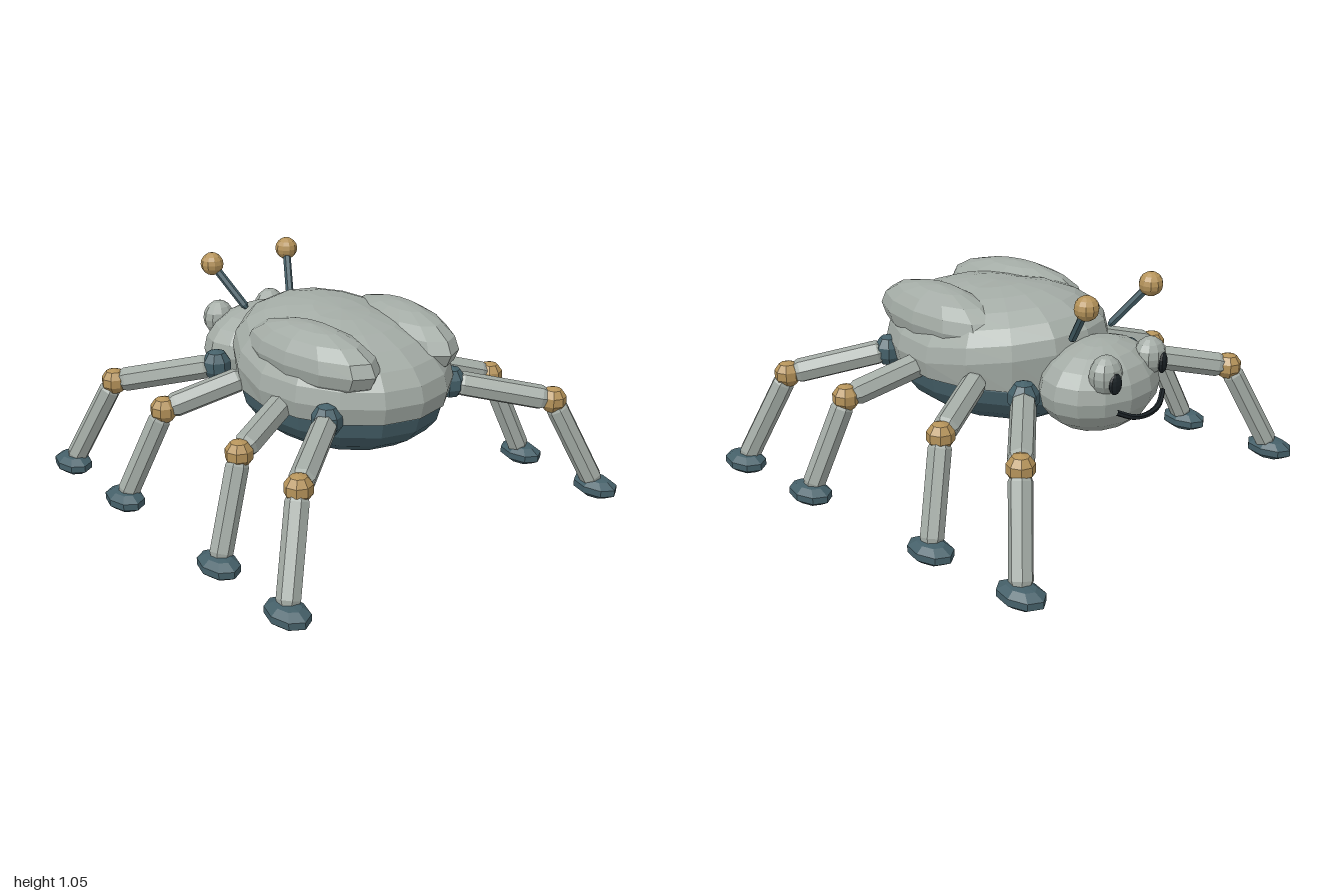
import * as THREE from 'three';

const material = (name, color) => {
  const m = new THREE.MeshStandardMaterial({ color, flatShading: true });
  m.name = name;
  return m;
};

export function createModel() {
  const grey = material('shell grey', 0xa3aba5);
  const teal = material('dark teal', 0x456069);
  const tan = material('joint tan', 0xb5935a);
  const black = material('face black', 0x1b2226);
  const model = new THREE.Group();
  model.name = 'beetle';

  const V = (x, y, z) => new THREE.Vector3(x, y, z);

  function add(name, geometry, mat, position, parent = model) {
    const mesh = new THREE.Mesh(geometry, mat);
    mesh.name = name;
    if (position) mesh.position.copy(position);
    parent.add(mesh);
    return mesh;
  }

  function ellipsoid(name, mat, position, [rx, ry, rz], w = 10, h = 7, parent = model) {
    return add(name, new THREE.SphereGeometry(1, w, h).scale(rx, ry, rz), mat, position, parent);
  }

  // Straight limb with tapered ends between two points
  function limb(name, mat, a, b, radius, sides, parent) {
    const length = a.distanceTo(b);
    const taper = Math.min(radius, length * 0.2);
    const profile = [[0, 0], [0.55, 0], [1, taper], [1, length - taper], [0.55, length], [0, length]]
      .map(([r, y]) => new THREE.Vector2(r * radius, y));
    const mesh = add(name, new THREE.LatheGeometry(profile, sides), mat, a, parent);
    mesh.quaternion.setFromUnitVectors(V(0, 1, 0), b.clone().sub(a).normalize());
    return mesh;
  }

  // Domed shell: flat rim below, raised toward the head end
  const dome = new THREE.SphereGeometry(1, 16, 12);
  const p = dome.attributes.position;
  for (let i = 0; i < p.count; i++) {
    const x = p.getX(i), y = p.getY(i), z = p.getZ(i);
    const lift = y > -0.05 ? 0.1 * Math.max(0, -z) : 0;
    const height = y > -0.05 ? y * 0.28 : Math.max(y * 0.3, -0.09);
    p.setXYZ(i, x * 0.465, 0.63 + height + lift, 0.09 + z * 0.565);
  }
  add('shell', dome, grey);
  ellipsoid('belly', teal, V(0, 0.545, 0.08), [0.435, 0.255, 0.545], 16, 12);

  // Head and mouth
  ellipsoid('head', grey, V(0, 0.575, -0.53), [0.31, 0.205, 0.24], 14, 10);
  const smile = new THREE.CatmullRomCurve3([
    V(-0.165, 0.545, -0.755), V(-0.09, 0.51, -0.79), V(0, 0.498, -0.8),
    V(0.09, 0.51, -0.79), V(0.165, 0.545, -0.755),
  ]);
  add('mouth', new THREE.TubeGeometry(smile, 14, 0.013, 6), black);

  // Hip, knee and foot positions along one side
  const legs = [
    { hip: V(0.36, 0.575, 0.44), knee: V(0.735, 0.485, 0.735), foot: V(0.905, 0.05, 0.882) },
    { hip: V(0.36, 0.6, 0.17), knee: V(0.735, 0.485, 0.322), foot: V(0.905, 0.05, 0.4) },
    { hip: V(0.36, 0.6, -0.14), knee: V(0.735, 0.485, -0.277), foot: V(0.905, 0.05, -0.378) },
    { hip: V(0.36, 0.575, -0.405), knee: V(0.735, 0.485, -0.725), foot: V(0.905, 0.05, -0.882) },
  ];

  for (const s of [1, -1]) {
    const side = s > 0 ? 'left' : 'right';
    const at = (v) => V(s * v.x, v.y, v.z);

    // Wing case
    const wing = ellipsoid(side + 'WingCase', grey, V(s * 0.255, 0.775, 0.2), [0.168, 0.148, 0.39], 12, 8);
    wing.rotation.y = -s * 0.1;

    // Eye and pupil
    ellipsoid(side + 'Eye', grey, V(s * 0.155, 0.695, -0.685), [0.08, 0.087, 0.07], 10, 8);
    const pupil = ellipsoid(side + 'Pupil', black, V(s * 0.167, 0.672, -0.747), [0.034, 0.048, 0.018], 10, 8);
    pupil.rotation.y = -s * 0.2;

    // Antenna
    const tip = V(s * 0.222, 0.995, -0.627);
    limb(side + 'AntennaStalk', teal, V(s * 0.13, 0.79, -0.475), tip, 0.019, 6, model);
    ellipsoid(side + 'AntennaBall', tan, tip, [0.055, 0.055, 0.055], 10, 8);

    // Legs
    legs.forEach(({ hip, knee, foot }, i) => {
      const leg = new THREE.Group();
      leg.name = side + 'Leg' + (i + 1);
      model.add(leg);
      const [h, k, f] = [hip, knee, foot].map(at);
      ellipsoid('hip', teal, h, i % 3 ? [0.05, 0.05, 0.05] : [0.072, 0.078, 0.072], 8, 5, leg);
      limb('upperLeg', grey, h, k, 0.058, 7, leg);
      ellipsoid('knee', tan, k, [0.064, 0.064, 0.064], 8, 5, leg);
      limb('lowerLeg', grey, k, f, 0.052, 7, leg);
      ellipsoid('foot', teal, f, [0.083, 0.05, 0.123], 8, 5, leg);
    });
  }
  return model;
}
